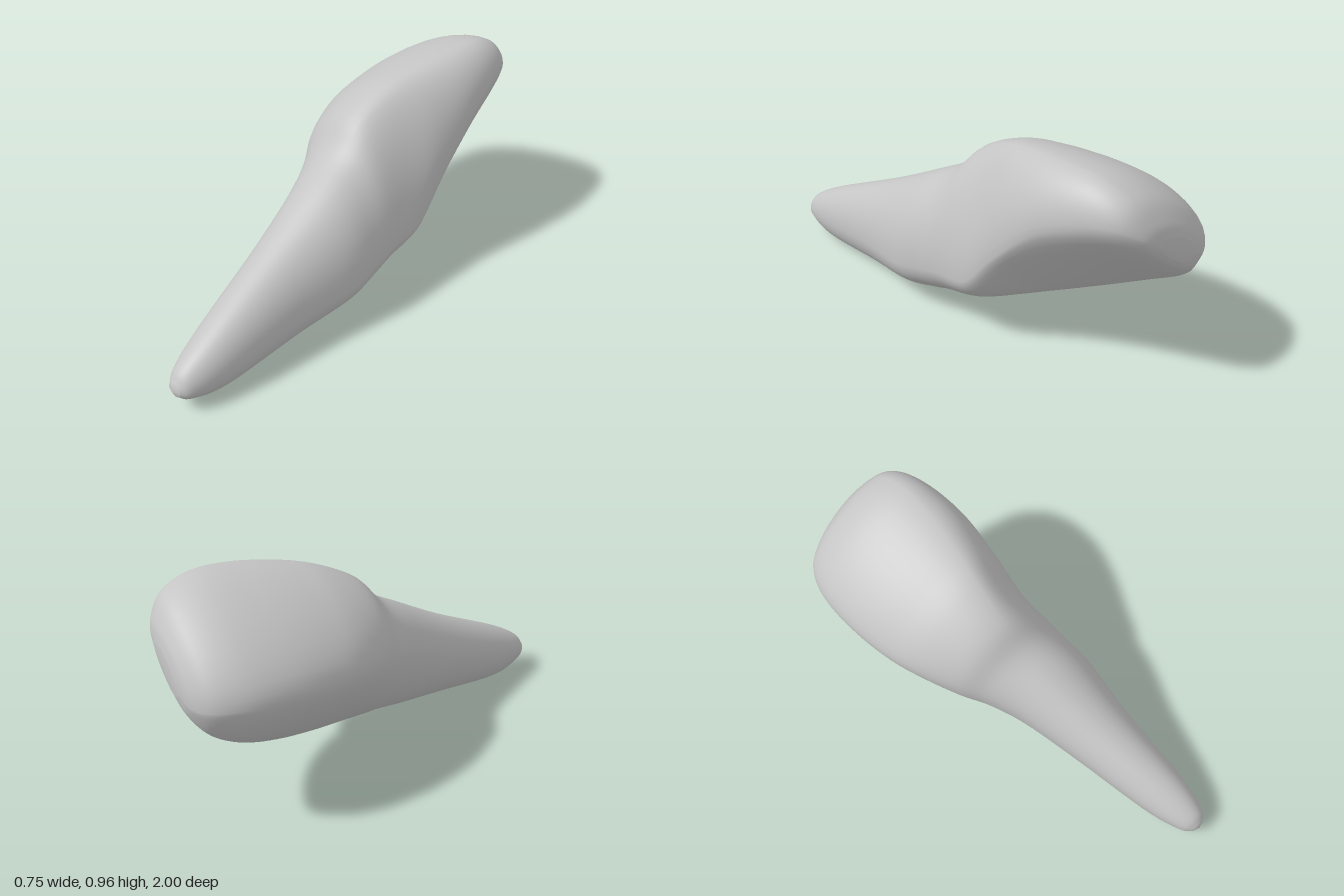
import * as THREE from 'three';

// Cross-sections from root tip to biting edge:
// [z, rightX, rightY, topX, topY, leftX, leftY, bottomX, bottomY] = extreme points of each outline
const SECTIONS = [
  [0.99, 0.285, 0.10, 0.25, 0.13, 0.22, 0.10, 0.25, 0.075],
  [0.94, 0.32, 0.105, 0.25, 0.188, 0.18, 0.115, 0.24, 0.038],
  [0.78, 0.345, 0.13, 0.23, 0.28, 0.12, 0.16, 0.23, 0.0],
  [0.42, 0.35, 0.185, 0.16, 0.452, 0.025, 0.285, 0.215, 0.032],
  [0.16, 0.372, 0.22, 0.12, 0.593, -0.055, 0.395, 0.19, 0.063],
  [0.01, 0.358, 0.26, 0.09, 0.68, -0.13, 0.465, 0.155, 0.098],
  [-0.10, 0.345, 0.29, 0.07, 0.795, -0.21, 0.52, 0.11, 0.127],
  [-0.26, 0.332, 0.325, 0.08, 0.88, -0.293, 0.56, 0.045, 0.165],
  [-0.41, 0.316, 0.50, 0.10, 0.922, -0.342, 0.575, -0.02, 0.205],
  [-0.60, 0.295, 0.69, 0.12, 0.95, -0.371, 0.59, -0.13, 0.283],
  [-0.78, 0.252, 0.78, 0.12, 0.953, -0.368, 0.59, -0.22, 0.37],
  [-0.91, 0.195, 0.805, 0.10, 0.905, -0.325, 0.585, -0.235, 0.45],
  [-0.975, 0.12, 0.775, 0.05, 0.82, -0.25, 0.585, -0.19, 0.53],
  [-0.997, 0.03, 0.725, -0.01, 0.745, -0.165, 0.62, -0.13, 0.60],
];
const STEPS = 78, ARC = 12, AROUND = ARC * 4;

// Closed outline of four arcs whose fullness sets how round each quarter is
function outline(points, fullness) {
  const ring = [];
  for (let q = 0; q < 4; q++) {
    const a = points[q], b = points[(q + 1) % 4], f = fullness[q];
    const corner = q % 2 === 0 ? new THREE.Vector3(a.x, b.y, a.z) : new THREE.Vector3(b.x, a.y, a.z);
    const arc = new THREE.CubicBezierCurve3(a, a.clone().lerp(corner, f), b.clone().lerp(corner, f), b);
    for (let i = 0; i < ARC; i++) ring.push(arc.getPoint(i / ARC));
  }
  return ring;
}

// Quarter fullness along the tooth: rounded root, flat crown faces, a bulge below the inner face
function fullnessAt(z) {
  const { lerp, smoothstep } = THREE.MathUtils;
  const crown = smoothstep(-z, -0.15, 0.4);
  const innerFace = smoothstep(-z, 0.26, 0.48);
  const neck = Math.exp(-(((z + 0.2) / 0.2) ** 2));
  return [0.55 - 0.15 * neck, lerp(0.56, 0.38, crown), lerp(0.5, 0.32, crown), lerp(0.55, 0.24, innerFace)];
}

function toothGeometry() {
  const rails = [1, 3, 5, 7].map((c) => new THREE.CatmullRomCurve3(
    SECTIONS.map((s) => new THREE.Vector3(s[c], s[c + 1], s[0])), false, 'catmullrom', 0.5));
  const positions = [], index = [];
  for (let i = 0; i <= STEPS; i++) {
    const points = rails.map((r) => r.getPoint(i / STEPS));
    for (const p of outline(points, fullnessAt(points[0].z))) positions.push(p.x, p.y, p.z);
  }
  // skin between neighbouring outlines
  for (let i = 0; i < STEPS; i++) {
    for (let j = 0; j < AROUND; j++) {
      const k = (j + 1) % AROUND;
      const a = i * AROUND + j, d = i * AROUND + k;
      index.push(a, a + AROUND, d, d, a + AROUND, d + AROUND);
    }
  }
  // closed ends
  const tip = positions.length / 3, last = STEPS * AROUND;
  positions.push(0.253, 0.1, 1, -0.07, 0.67, -1);
  for (let j = 0; j < AROUND; j++) {
    const k = (j + 1) % AROUND;
    index.push(tip, j, k, tip + 1, last + k, last + j);
  }
  const geometry = new THREE.BufferGeometry();
  geometry.setAttribute('position', new THREE.Float32BufferAttribute(positions, 3));
  geometry.setIndex(index);
  geometry.computeVertexNormals();
  return geometry;
}

export function createModel() {
  const group = new THREE.Group();
  group.name = 'incisorTooth';
  const enamel = new THREE.MeshStandardMaterial({ color: 0xc4c4c4 });
  enamel.name = 'greyEnamel';
  const tooth = new THREE.Mesh(toothGeometry(), enamel);
  tooth.name = 'crownAndRoot';
  group.add(tooth);
  return group;
}
